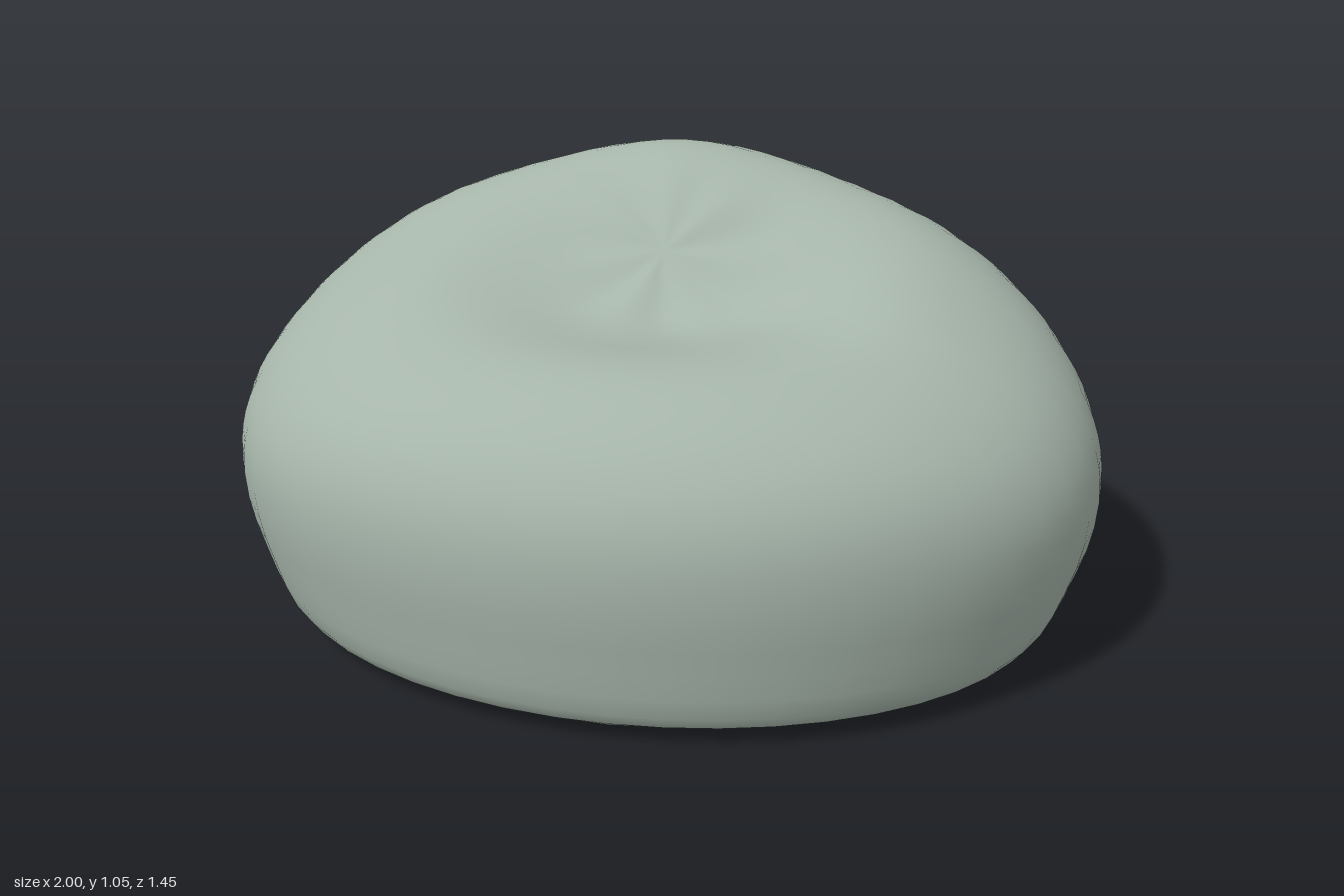
import * as THREE from 'three';

const HALF_X = 1, HALF_Z = 0.725, WAIST = 0.37;
const SEGMENTS = 48;

const gauss = (a) => Math.exp(-a * a);

// Height of the cushion top before it rounds off: low seat, soft arms, tall backrest
function crest(x, z) {
  const arm = THREE.MathUtils.smoothstep(Math.abs(x), 0.15, 0.6);
  const back = THREE.MathUtils.smoothstep(-z, -0.17 - 0.16 * arm, 0.39);
  const backHeight = 0.36 - 0.045 * THREE.MathUtils.smoothstep(Math.abs(x), 0, 0.5);
  const armrest = 0.04 * arm * gauss((z - 0.2) / 0.16);
  const seat = 0.07 * gauss(x / 0.34) * gauss((z - 0.2) / 0.2);
  return 0.815 + backHeight * back + armrest - seat;
}

// Point on the upper half at angle a and plan fraction s (0 = middle, 1 = waist)
function topPoint(a, s) {
  const x = HALF_X * s * Math.cos(a), z = HALF_Z * s * Math.sin(a);
  // Fuller shoulder at the front, leaner slope behind the backrest
  const p = 2.13 + 0.36 * Math.sin(a);
  const dome = Math.pow(Math.max(0, 1 - Math.pow(s, p)), 1 / p);
  // Gathered folds running out from the middle, plus soft lumps
  const folds = 0.006 * (Math.sin(7 * a + 0.6) + 0.6 * Math.sin(4 * a)) * gauss((s - 0.17) / 0.12);
  const lumps = 0.006 * Math.sin(5 * x + 1) * Math.sin(7 * z) * s;
  return [x, WAIST + (crest(x, z) - WAIST) * dome + (folds + lumps) * dome, z];
}

// Lower wall and base: [plan fraction, height]
const LOWER = [
  [0.995, 0.31], [0.983, 0.25], [0.963, 0.19], [0.94, 0.13], [0.915, 0.08],
  [0.89, 0.05], [0.865, 0.04], [0.7, 0.032], [0.45, 0.026], [0.2, 0.024],
];

function lowerPoint(a, [s, y]) {
  const sag = y < 0.045 ? 0.007 * Math.sin(9 * a) * Math.sin(s * 8 + 2 * a) : 0;
  // The base sits slightly forward of the waist
  const forward = 0.02 * (1 - THREE.MathUtils.smoothstep(y, 0.05, 0.25));
  return [HALF_X * s * Math.cos(a), y + sag, HALF_Z * s * Math.sin(a) + forward];
}

// Loft closed rings between a top pole and a bottom pole
function bodyGeometry() {
  const rings = [];
  const TOP_RINGS = 26;
  for (let i = 1; i <= TOP_RINGS; i++) {
    const s = Math.sin((i / TOP_RINGS) * Math.PI / 2);
    rings.push((a) => topPoint(a, s));
  }
  LOWER.forEach((row) => rings.push((a) => lowerPoint(a, row)));

  const positions = [0, topPoint(0, 0)[1], 0];
  for (const ring of rings) {
    for (let j = 0; j < SEGMENTS; j++) positions.push(...ring((j / SEGMENTS) * Math.PI * 2));
  }
  positions.push(0, 0, 0);

  const index = [];
  const at = (i, j) => 1 + i * SEGMENTS + (j % SEGMENTS);
  const last = rings.length - 1, bottom = positions.length / 3 - 1;
  for (let j = 0; j < SEGMENTS; j++) {
    index.push(0, at(0, j + 1), at(0, j));
    for (let i = 0; i < last; i++) {
      index.push(at(i, j), at(i, j + 1), at(i + 1, j));
      index.push(at(i, j + 1), at(i + 1, j + 1), at(i + 1, j));
    }
    index.push(bottom, at(last, j), at(last, j + 1));
  }
  const geometry = new THREE.BufferGeometry();
  geometry.setAttribute('position', new THREE.Float32BufferAttribute(positions, 3));
  geometry.setIndex(index);
  geometry.computeVertexNormals();
  return geometry;
}

// Slim strap hugging the lower wall between two angles, its ends tucked into the body
function strapGeometry(side, from, to) {
  const points = [];
  for (let i = 0; i <= 10; i++) {
    const t = i / 10, a = -THREE.MathUtils.lerp(from, to, t);
    const bow = Math.sin(Math.PI * t);
    const s = 0.924 + 0.013 * bow;
    points.push(new THREE.Vector3(
      side * HALF_X * s * Math.cos(a), 0.126 + 0.008 * bow, HALF_Z * s * Math.sin(a) + 0.012));
  }
  return new THREE.TubeGeometry(new THREE.CatmullRomCurve3(points), 32, 0.013, 8, false);
}

export function createModel() {
  const group = new THREE.Group();
  group.name = 'beanbagSeat';
  const fabric = new THREE.MeshStandardMaterial({ color: 0xa6b5aa });
  fabric.name = 'sageFabric';

  const add = (name, geometry) => {
    const mesh = new THREE.Mesh(geometry, fabric);
    mesh.name = name;
    group.add(mesh);
  };
  add('cushionBody', bodyGeometry());
  add('leftStrap', strapGeometry(1, 0.12, 1.02));
  add('rightStrap', strapGeometry(-1, 0.2, 0.8));
  return group;
}
